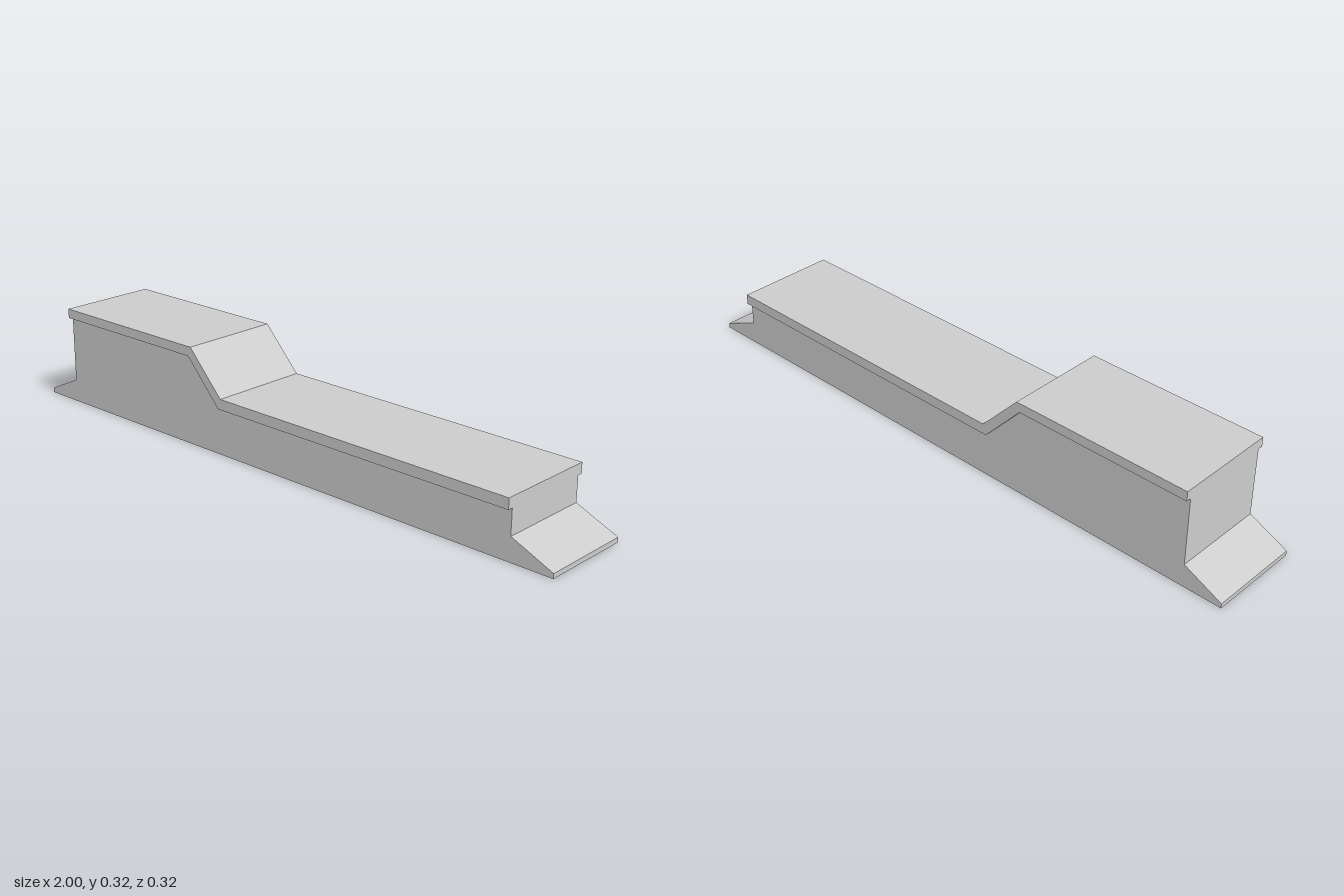
import * as THREE from 'three';

const BODY_Z = 0.146, CAP_Z = 0.162;

// side profiles as [x, y], running from -x to +x
const capTop = [[-0.876, 0.317], [-0.3, 0.317], [-0.175, 0.184], [0.866, 0.184]];
const capBottom = [[-0.876, 0.287], [-0.311, 0.287], [-0.186, 0.151], [0.866, 0.151]];
const leftToe = [[0.866, 0.073], [1, 0.015], [1, 0]];
const rightToe = [[-1, 0], [-1, 0.015], [-0.876, 0.073]];

const material = new THREE.MeshStandardMaterial({
  color: 0xcccccc, flatShading: true, side: THREE.DoubleSide,
});

const at = (path, z) => path.map(([x, y]) => [x, y, z]);

// flat quads between two paths of equal length
function ruled(a, b) {
  const pos = [];
  for (let i = 0; i < a.length - 1; i++) {
    pos.push(...a[i], ...a[i + 1], ...b[i + 1], ...a[i], ...b[i + 1], ...b[i]);
  }
  const g = new THREE.BufferGeometry();
  g.setAttribute('position', new THREE.Float32BufferAttribute(pos, 3));
  g.computeVertexNormals();
  return g;
}

const across = (path, z) => ruled(at(path, z), at(path, -z));

export function createModel() {
  const group = new THREE.Group();
  const add = (name, geometry) => {
    const mesh = new THREE.Mesh(geometry, material);
    mesh.name = name;
    group.add(mesh);
  };

  // hollow body, open underneath: two side walls
  const outline = [...rightToe, ...capBottom, ...leftToe];
  const wall = (points) => new THREE.ShapeGeometry(
    new THREE.Shape(points.map(([x, y]) => new THREE.Vector2(x, y))));
  add('frontWall', wall(outline).translate(0, 0, BODY_Z));
  add('backWall', wall(outline.map(([x, y]) => [-x, y]))
    .rotateY(Math.PI).translate(0, 0, -BODY_Z));

  // end walls with their sloping toes
  add('rightEnd', across([...rightToe, capBottom[0]], BODY_Z));
  add('leftEnd', across([capBottom[3], ...leftToe], BODY_Z));

  // stepped cap, slightly wider than the body
  add('capTop', across([capBottom[0], ...capTop, capBottom[3]], CAP_Z));
  add('capFrontEdge', ruled(at(capBottom, CAP_Z), at(capTop, CAP_Z)));
  add('capBackEdge', ruled(at(capTop, -CAP_Z), at(capBottom, -CAP_Z)));

  // undersides of the overhang
  add('frontLedge', ruled(at(capBottom, BODY_Z), at(capBottom, CAP_Z)));
  add('backLedge', ruled(at(capBottom, -CAP_Z), at(capBottom, -BODY_Z)));

  return group;
}
